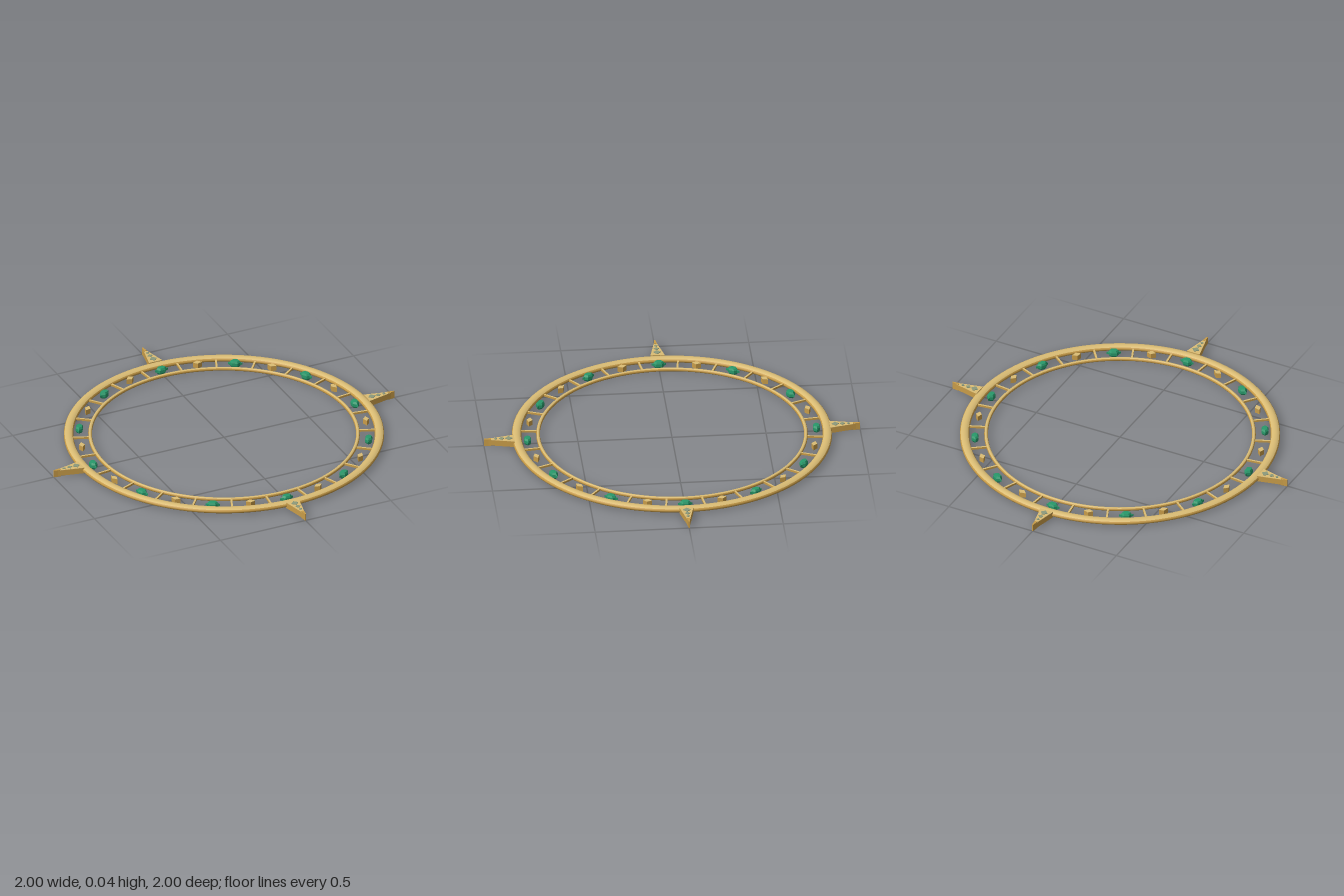
import * as THREE from 'three';

function colour(name, hex) {
  const material = new THREE.MeshStandardMaterial({ color: hex });
  material.name = name;
  return material;
}
const paleGold = colour('paleGold', 0xdabc74);
const deepGold = colour('deepGold', 0xc89c48);
const emerald = colour('emerald', 0x28986a);
const patina = colour('patina', 0x8c9a7c);

const MID = 0.024; // height of the ring's centre plane

function part(name, geometry, material, x = 0, y = 0, z = 0) {
  const mesh = new THREE.Mesh(geometry, material);
  mesh.name = name;
  mesh.position.set(x, y, z);
  return mesh;
}

// Band of a flattened tube between two angles of its cross-section
function band(name, material, radius, halfWidth, halfHeight, from, to) {
  const points = [];
  const steps = Math.round((to - from) / 18);
  for (let i = 0; i <= steps; i++) {
    const a = THREE.MathUtils.degToRad(from + ((to - from) * i) / steps);
    points.push(new THREE.Vector2(radius + halfWidth * Math.cos(a), halfHeight * Math.sin(a)));
  }
  return part(name, new THREE.LatheGeometry(points, 120), material, 0, MID, 0);
}

// Faceted stone: a lathe with few sides, stretched along x and z
function stone(sides, profile, sx, sz) {
  const points = profile.map(([r, y]) => new THREE.Vector2(r, y));
  const lathe = new THREE.LatheGeometry(points, sides, Math.PI / 2);
  const geometry = lathe.scale(sx, 1, sz).toNonIndexed();
  geometry.computeVertexNormals();
  return geometry;
}

// Flat plate from plan points [across, outward], centred on y = 0
function plate(points, halfHeight) {
  const shape = new THREE.Shape(points.map(([x, z]) => new THREE.Vector2(x, -z)));
  const geometry = new THREE.ExtrudeGeometry(shape, { depth: 2 * halfHeight, bevelEnabled: false });
  return geometry.translate(0, 0, -halfHeight).rotateX(-Math.PI / 2);
}

const cutProfile = [[0, -0.019], [0.75, -0.018], [1, -0.008], [1, 0.008], [0.75, 0.018], [0, 0.019]];
const cutGem = stone(6, cutProfile, 0.03, 0.021);
const gemMount = stone(4, [[0, -0.012], [1, -0.006], [1, 0.006], [0, 0.012]], 0.038, 0.016);
const studPlan = [[-0.025, 0.765], [0, 0.781], [0.025, 0.765], [0, 0.749]];
const studGeometry = plate(studPlan, 0.014);
const studTop = plate(studPlan, 0.001);
const barGeometry = new THREE.BoxGeometry(0.01, 0.011, 0.096);
const barMaterials = [deepGold, deepGold, paleGold, deepGold, deepGold, deepGold];

// Ray: tapering blade with a pale face, inlaid plates and a blunt raised tip
const bladePlan = [[-0.038, 0.838], [0.038, 0.838], [0.003, 0.99], [-0.003, 0.99]];
const bladeGeometry = plate(bladePlan, 0.016);
const faceGeometry = plate(bladePlan, 0.001);
const tipGeometry = plate([[-0.008, 0.962], [0.008, 0.962], [0.003, 1.0], [-0.003, 1.0]], 0.02);
const inlayGeometries = [[0.868, 0.02], [0.906, 0.014], [0.938, 0.009]].map(([z, r]) =>
  plate([[-r, z], [0, z + r], [r, z], [0, z - r]], 0.002));

function ray() {
  const group = new THREE.Group();
  group.name = 'ray';
  group.add(part('rayBlade', bladeGeometry, deepGold, 0, MID, 0));
  group.add(part('rayFace', faceGeometry, paleGold, 0, MID + 0.0165, 0));
  group.add(part('rayTip', tipGeometry, deepGold, 0, MID, 0));
  for (const inlay of inlayGeometries) {
    group.add(part('rayInlay', inlay, patina, 0, MID + 0.0185, 0));
  }
  return group;
}

function divider() {
  const group = new THREE.Group();
  group.name = 'divider';
  group.add(part('dividerBar', barGeometry, barMaterials, 0, MID, 0.758));
  return group;
}

function emeraldGem() {
  const group = new THREE.Group();
  group.name = 'emeraldGem';
  group.add(part('gemMount', gemMount, emerald, 0, MID, 0.768));
  group.add(part('gemCut', cutGem, emerald, 0, MID, 0.768));
  return group;
}

function goldStud() {
  const group = new THREE.Group();
  group.name = 'goldStud';
  group.add(part('studBody', studGeometry, deepGold, 0, MID, 0));
  group.add(part('studTop', studTop, paleGold, 0, MID + 0.0145, 0));
  return group;
}

export function createModel() {
  const model = new THREE.Group();
  model.name = 'jewelledRing';

  // Both rings have pale tops and deeper flanks and undersides
  model.add(band('outerRingTop', paleGold, 0.823, 0.025, 0.016, 35, 145));
  model.add(band('outerRingBody', deepGold, 0.823, 0.025, 0.016, 145, 395));
  model.add(band('innerRingTop', paleGold, 0.709, 0.01, 0.01, 45, 135));
  model.add(band('innerRingBody', deepGold, 0.709, 0.01, 0.01, 135, 405));

  // Repeats an item round the ring at even steps
  function around(count, offset, make) {
    for (let i = 0; i < count; i++) {
      const spoke = make();
      spoke.rotation.y = ((i + offset) / count) * Math.PI * 2;
      model.add(spoke);
    }
  }
  around(24, 0.5, divider);
  around(12, 0, emeraldGem);
  around(12, 0.5, goldStud);
  around(4, 0, ray);
  return model;
}
